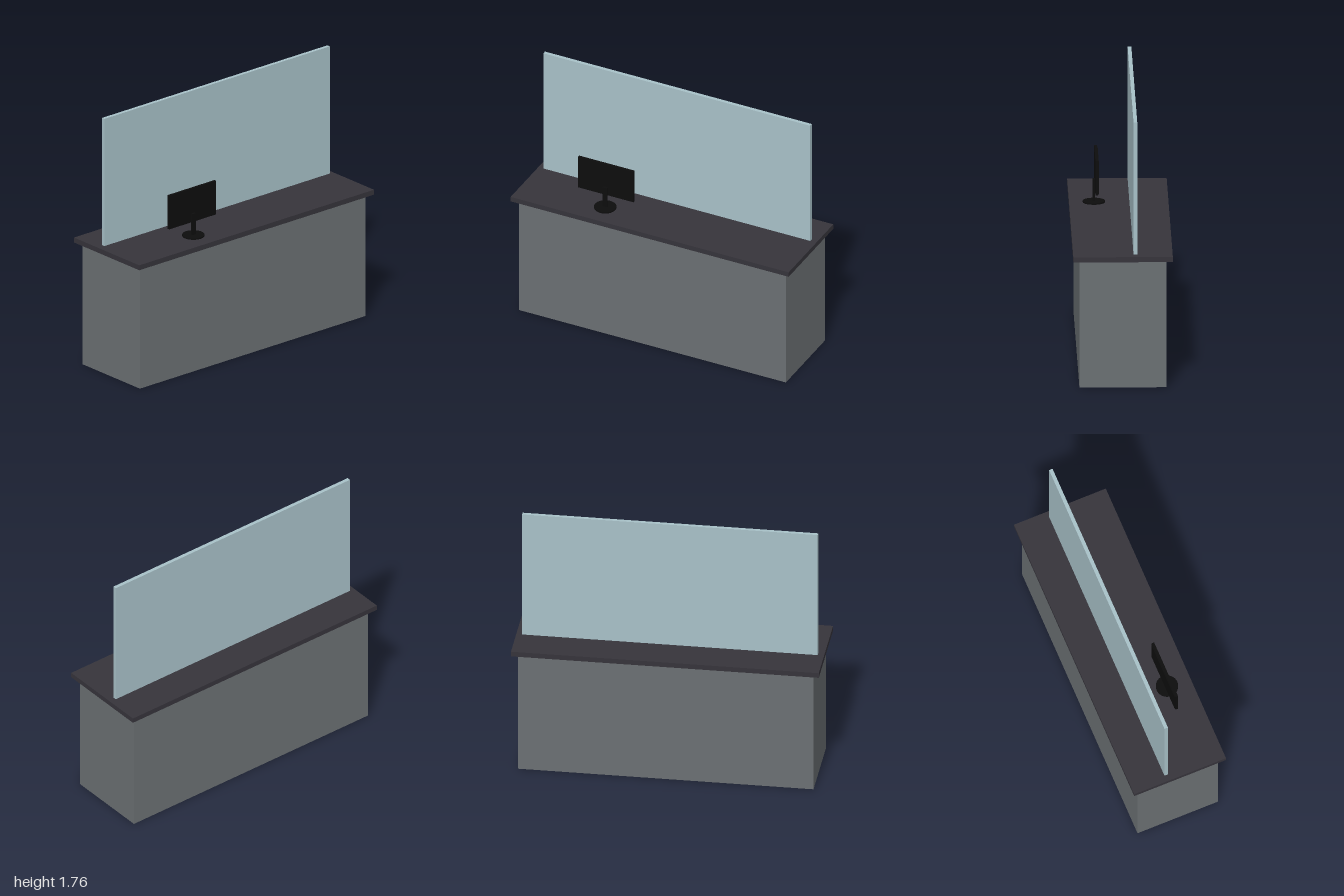
import * as THREE from 'three';

const material = (name, color) => {
  const m = new THREE.MeshStandardMaterial({ color });
  m.name = name;
  return m;
};

export function createModel() {
  const model = new THREE.Group();
  model.name = 'serviceCounter';

  const grey = material('counterGrey', 0x6b7073);
  const charcoal = material('worktopCharcoal', 0x36343b);
  const glass = material('paleBlueGlass', 0xa8c1c8);
  const black = material('monitorBlack', 0x0d0d0d);

  const add = (parent, name, geometry, mat, x, y, z) => {
    const mesh = new THREE.Mesh(geometry, mat);
    mesh.name = name;
    mesh.position.set(x, y, z);
    parent.add(mesh);
    return mesh;
  };
  const box = (w, h, d) => new THREE.BoxGeometry(w, h, d);

  // Counter and overhanging worktop
  add(model, 'counterBody', box(1.92, 0.842, 0.56), grey, 0, 0.421, 0);
  add(model, 'worktop', box(2, 0.034, 0.64), charcoal, 0, 0.859, 0);

  // Protective screen, floating just above the worktop
  add(model, 'glassScreen', box(1.92, 0.88, 0.024), glass, 0, 1.322, -0.08);

  // Monitor: its display faces the screen, the stand is behind it
  const monitor = new THREE.Group();
  monitor.name = 'monitor';
  monitor.position.set(-0.4, 0.876, 0.16);
  add(monitor, 'standBase', new THREE.CylinderGeometry(0.072, 0.072, 0.01, 32), black, 0, 0.005, 0);
  add(monitor, 'standPost', box(0.03, 0.15, 0.014), black, 0, 0.08, 0.001);
  add(monitor, 'monitorCase', box(0.4, 0.232, 0.018), black, 0, 0.21, -0.015);
  add(monitor, 'displayPanel', box(0.385, 0.217, 0.004), black, 0, 0.21, -0.026);
  model.add(monitor);

  return model;
}
